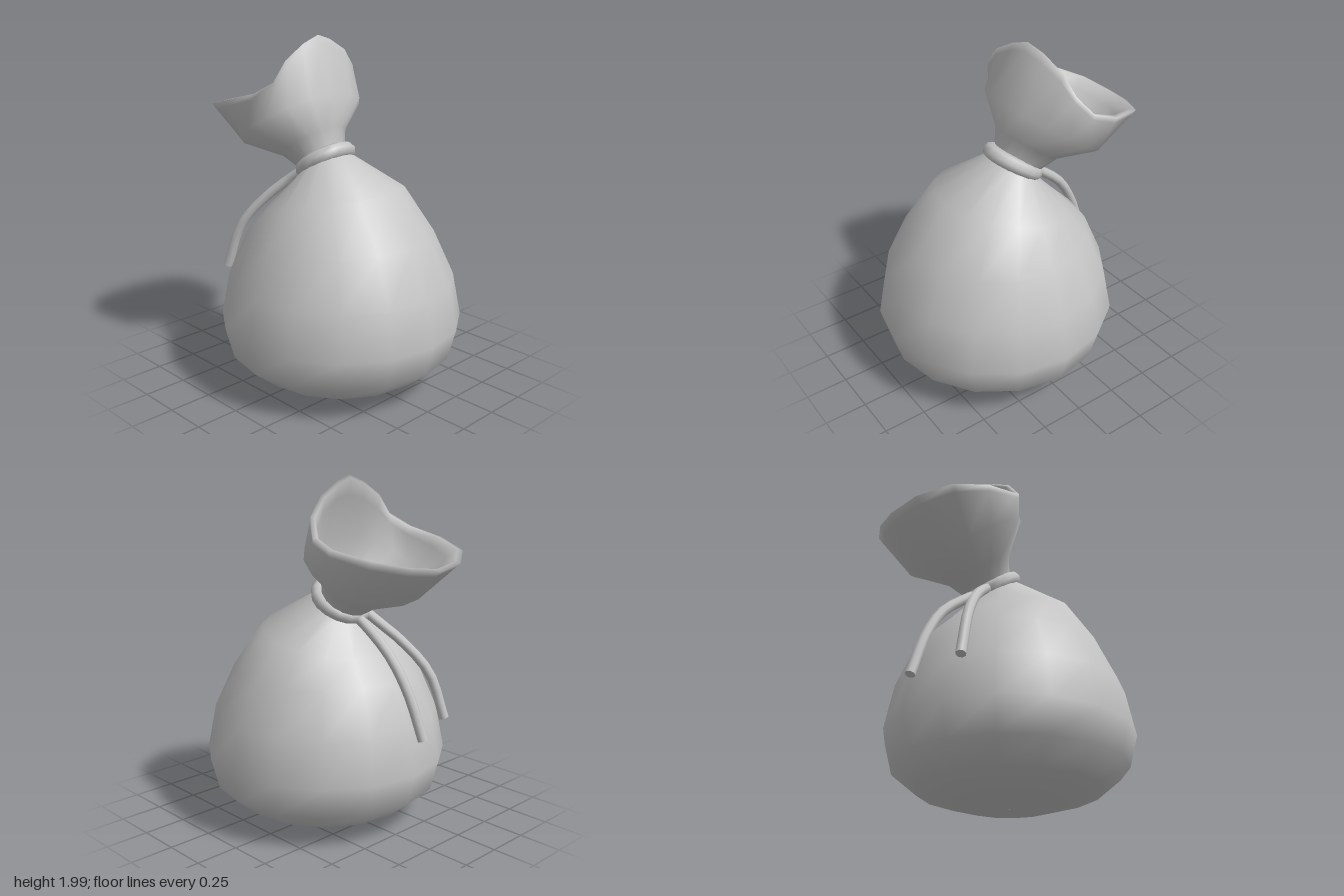
import * as THREE from 'three';

const SIDES = 16;

// Tilted oval ring: hi and lo are its [x, y] ends, rz its half width in z
function ring(hi, lo, rz) {
  return Array.from({ length: SIDES }, (_, i) => {
    const a = (i / SIDES) * Math.PI * 2;
    const t = (1 + Math.cos(a)) / 2;
    return new THREE.Vector3(
      lo[0] + (hi[0] - lo[0]) * t, lo[1] + (hi[1] - lo[1]) * t, rz * Math.sin(a));
  });
}

const blend = (a, b, t) => a.map((p, i) => p.clone().lerp(b[i], t));
const shrink = (r, k) => {
  const c = r.reduce((s, p) => s.add(p), new THREE.Vector3()).divideScalar(r.length);
  return r.map((p) => p.clone().lerp(c, k));
};

// Smooth skin over a list of rings
function loft(rings) {
  const pos = [], idx = [];
  rings.forEach((r) => r.forEach((p) => pos.push(p.x, p.y, p.z)));
  for (let j = 0; j < rings.length - 1; j++) {
    for (let i = 0; i < SIDES; i++) {
      const k = (i + 1) % SIDES;
      const a = j * SIDES + i, b = j * SIDES + k, c = a + SIDES, d = b + SIDES;
      idx.push(a, c, b, b, c, d);
    }
  }
  const g = new THREE.BufferGeometry();
  g.setAttribute('position', new THREE.Float32BufferAttribute(pos, 3));
  g.setIndex(idx);
  g.computeVertexNormals();
  return g;
}

export function createModel() {
  const model = new THREE.Group();
  const cloth = new THREE.MeshStandardMaterial({ color: 0xc4c4c4 });
  cloth.name = 'grey cloth';
  const add = (name, geometry, parent = model) => {
    const mesh = new THREE.Mesh(geometry, cloth);
    mesh.name = name;
    parent.add(mesh);
    return mesh;
  };

  // Filled sack: level rings below, leaning toward the tied neck above
  const level = (r, y) => ring([0.07 + r, y], [0.07 - r, y], r);
  add('sackBody', loft([
    level(0.002, 0.01), level(0.28, 0.03), level(0.51, 0.1), level(0.655, 0.22),
    level(0.702, 0.4), level(0.652, 0.65),
    ring([0.6, 0.91], [-0.48, 0.89], 0.54),
    ring([0.4, 1.18], [-0.34, 1.03], 0.41),
    ring([0.07, 1.36], [-0.18, 1.2], 0.16),
    ring([0.02, 1.41], [-0.19, 1.25], 0.13),
  ]));

  // Flared mouth: outer wall, rounded lip, then the hollow inside
  const rim = [
    [-0.14, 2, -0.02], [-0.13, 1.96, 0.1], [-0.12, 1.88, 0.24], [-0.12, 1.77, 0.33],
    [-0.22, 1.7, 0.4], [-0.42, 1.65, 0.43], [-0.62, 1.6, 0.37], [-0.74, 1.56, 0.2],
    [-0.77, 1.54, 0], [-0.73, 1.56, -0.18], [-0.63, 1.6, -0.36], [-0.42, 1.65, -0.44],
    [-0.28, 1.7, -0.42], [-0.2, 1.8, -0.36], [-0.18, 1.9, -0.27], [-0.16, 1.97, -0.13],
  ].map((p) => new THREE.Vector3(...p));
  const neck = ring([0.03, 1.38], [-0.19, 1.22], 0.14);
  const throat = ring([0.005, 1.5], [-0.31, 1.28], 0.2);
  const flare = ring([0.01, 1.68], [-0.52, 1.33], 0.4);
  const lip = blend(flare, rim, 0.85);
  const inside = shrink(flare, 0.16);
  add('sackMouth', loft([
    neck, throat, flare, lip, rim,
    shrink(rim, 0.06), blend(inside, shrink(rim, 0.1), 0.75), inside,
    shrink(throat, 0.3), shrink(neck, 0.6), shrink(neck, 0.99),
  ]));

  // Tie around the neck
  const tie = new THREE.Group();
  tie.name = 'neckTie';
  tie.position.set(-0.06, 1.3, 0);
  tie.rotation.z = THREE.MathUtils.degToRad(34);
  model.add(tie);
  const band = add('tieBand', new THREE.TorusGeometry(0.14, 0.045, 8, SIDES), tie);
  band.rotation.x = Math.PI / 2;

  // Two loose cord ends lying down the side, closed at the tips
  const cords = {
    frontCord: [[-0.14, 1.25, 0.09], [-0.22, 1.19, 0.12], [-0.34, 1.07, 0.21],
      [-0.46, 0.89, 0.31], [-0.535, 0.63, 0.36]],
    sideCord: [[-0.15, 1.24, 0], [-0.24, 1.18, 0.01], [-0.42, 1.03, 0.02],
      [-0.54, 0.84, 0.04], [-0.635, 0.59, 0.06]],
  };
  for (const [name, points] of Object.entries(cords)) {
    const curve = new THREE.CatmullRomCurve3(points.map((p) => new THREE.Vector3(...p)));
    const cord = new THREE.Group();
    cord.name = name;
    model.add(cord);
    add('strand', new THREE.TubeGeometry(curve, 10, 0.029, 8), cord);
    const tip = add('strandTip', new THREE.CircleGeometry(0.029, 8), cord);
    tip.position.copy(curve.getPoint(1));
    tip.lookAt(curve.getPoint(1).add(curve.getTangent(1)));
  }

  return model;
}
